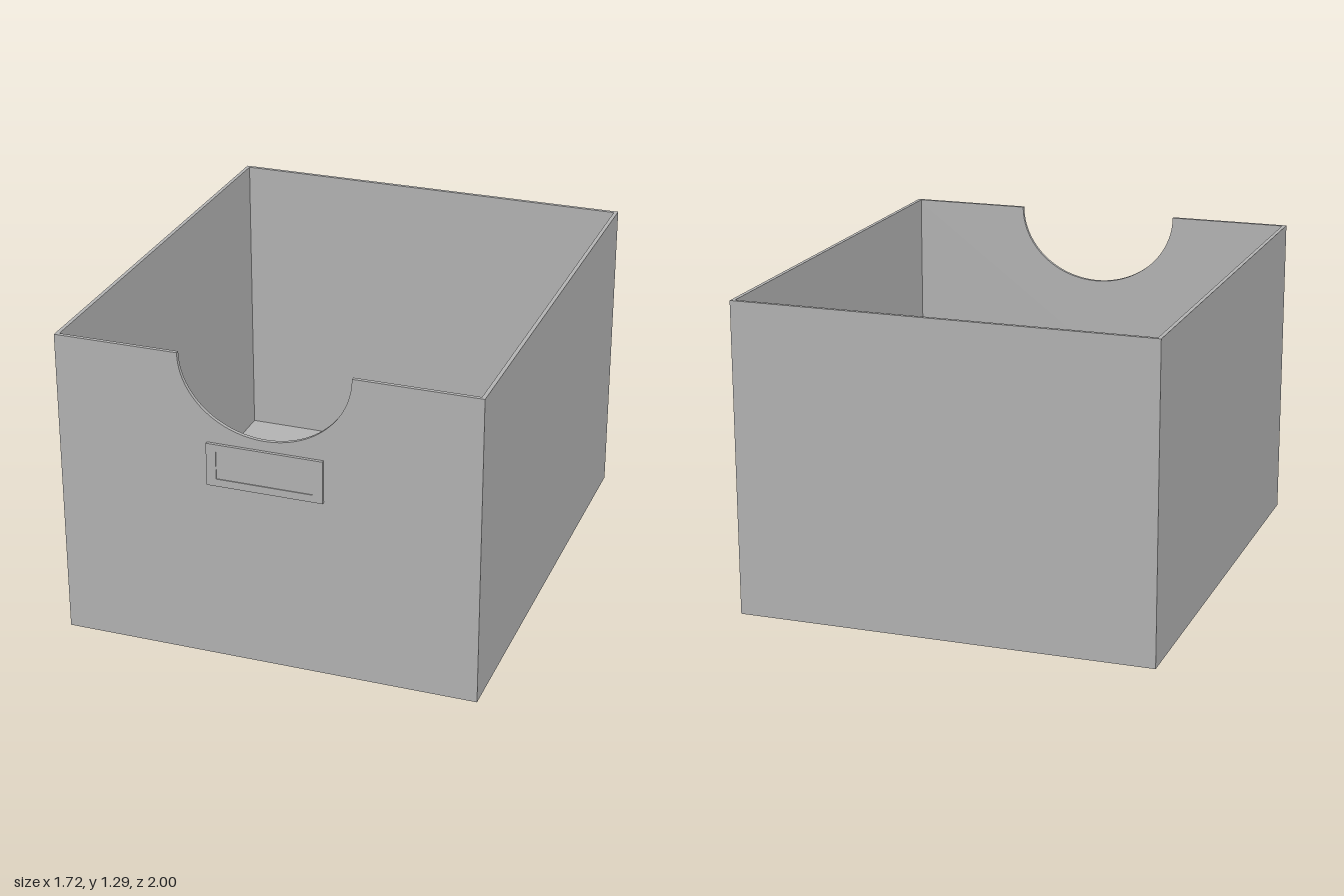
import * as THREE from 'three';

export function createModel() {
  const model = new THREE.Group();
  model.name = 'storageBox';
  const grey = new THREE.MeshStandardMaterial({ color: 0xb2b2b2 });
  grey.name = 'grey board';

  const W = 0.86, H = 1.29, back = -1, front = 0.987, t = 0.016;
  const depth = front - back, midZ = (front + back) / 2;

  function add(name, geometry, x = 0, y = 0, z = 0) {
    const mesh = new THREE.Mesh(geometry, grey);
    mesh.name = name;
    mesh.position.set(x, y, z);
    model.add(mesh);
  }
  const rect = (Type, w, y0, y1) => new Type([
    new THREE.Vector2(-w, y0), new THREE.Vector2(w, y0),
    new THREE.Vector2(w, y1), new THREE.Vector2(-w, y1),
  ]);
  const extrude = (shape, d) =>
    new THREE.ExtrudeGeometry(shape, { depth: d, bevelEnabled: false, curveSegments: 48 });

  // Floor, back and side walls
  add('floor', new THREE.BoxGeometry(2 * (W - t), t, depth - 2 * t), 0, t / 2, midZ);
  add('backWall', new THREE.BoxGeometry(2 * W, H, t), 0, H / 2, back + t / 2);
  for (const [name, side] of [['leftWall', 1], ['rightWall', -1]]) {
    add(name, new THREE.BoxGeometry(t, H, depth - 2 * t), side * (W - t / 2), H / 2, midZ);
  }

  // Front wall with the rounded hand cutout in its top edge
  const wall = new THREE.Shape();
  wall.moveTo(-W, 0);
  wall.lineTo(W, 0);
  wall.lineTo(W, H);
  wall.lineTo(0.35, H);
  wall.absellipse(0, H, 0.35, 0.314, 0, Math.PI, true);
  wall.lineTo(-W, H);
  wall.closePath();
  add('frontWall', extrude(wall, t), 0, 0, front - t);

  // Label holder: raised frame around a slightly recessed card
  const frame = rect(THREE.Shape, 0.237, 0.757, 0.935);
  frame.holes.push(rect(THREE.Path, 0.197, 0.788, 0.904));
  add('labelFrame', extrude(frame, 1 - front), 0, 0, front);
  add('labelCard', new THREE.BoxGeometry(0.394, 0.116, 0.009), 0, 0.846, front + 0.0045);

  return model;
}
